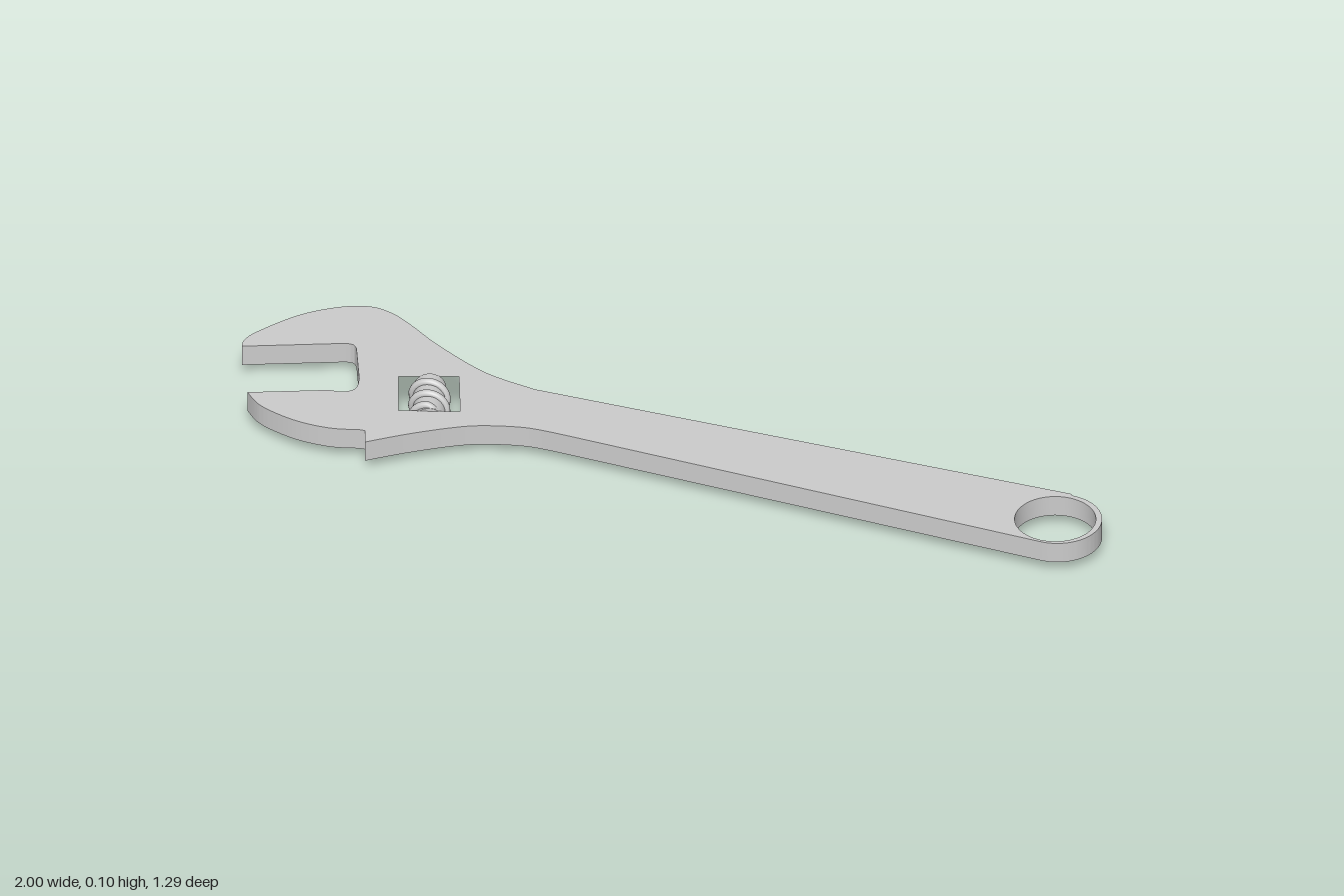
import * as THREE from 'three';
import { toCreasedNormals } from 'three/addons/utils/BufferGeometryUtils.js';

const BOTTOM = 0.03, THICKNESS = 0.055;
const material = new THREE.MeshStandardMaterial({ color: 0xcccccc });

// Plan points are [x, z]; the shape's y is -z so the extrusion can lie flat.
const plan = (points) => points.map(([x, z]) => new THREE.Vector2(x, -z));

function createBody() {
  const shape = new THREE.Shape();
  const line = (...pts) => plan(pts).forEach((p) => shape.lineTo(p.x, p.y));
  const curve = (...pts) => shape.splineThru(plan(pts));

  // fixed jaw, sweeping round into the handle
  shape.moveTo(-0.985, 0.505);
  curve([-0.975, -0.533], [-0.935, -0.567], [-0.825, -0.624], [-0.72, -0.645], [-0.645, -0.635],
    [-0.597, -0.597], [-0.56, -0.54], [-0.505, -0.44], [-0.41, -0.307], [-0.3, -0.215]);
  // handle and rounded end
  line([0.94, 0.43]);
  shape.absarc(0.89, -0.535, 0.11, 1.09, -2.09, true);
  line([-0.26, -0.005]);
  // underside of the head, with the step to the sliding jaw
  curve([-0.345, -0.048], [-0.45, -0.072], [-0.53, -0.073], [-0.64, -0.06], [-0.745, -0.04]);
  line([-0.738, -0.09], [-0.75, -0.096]);
  // sliding jaw
  curve([-0.825, -0.115], [-0.905, -0.162], [-0.975, -0.235], [-1, -0.3]);
  line([-0.8, -0.282]);
  curve([-0.768, -0.27], [-0.735, -0.28], [-0.72, -0.32]);
  // back of the mouth and fixed jaw face
  line([-0.708, -0.457]);
  curve([-0.713, -0.473], [-0.73, -0.482]);
  shape.closePath();

  // hanging hole and window for the adjusting screw
  const hole = new THREE.Path();
  hole.absarc(0.885, -0.535, 0.1, 0, Math.PI * 2, false);
  const slot = new THREE.Path(plan([[-0.623, -0.318], [-0.476, -0.297], [-0.495, -0.142], [-0.644, -0.168]]));
  slot.closePath();
  shape.holes.push(hole, slot);

  const geometry = new THREE.ExtrudeGeometry(shape, { depth: THICKNESS, bevelEnabled: false, curveSegments: 24 });
  geometry.rotateX(-Math.PI / 2).translate(0, BOTTOM, 0);
  const body = new THREE.Mesh(toCreasedNormals(geometry, 0.6), material);
  body.name = 'wrenchBody';
  return body;
}

// Helical thread whose ends sink into the core
class ThreadCurve extends THREE.Curve {
  getPoint(t, target = new THREE.Vector3()) {
    const turns = 2.75, length = 0.142;
    const a = -0.6 - t * turns * Math.PI * 2;
    const r = 0.042 - 0.014 * (1 - Math.min(1, Math.min(t, 1 - t) / 0.04));
    return target.set(r * Math.cos(a), r * Math.sin(a), (t - 0.5) * length);
  }
}

function createScrew() {
  const screw = new THREE.Group();
  screw.name = 'adjustingScrew';
  const core = new THREE.Mesh(new THREE.CylinderGeometry(0.04, 0.04, 0.156, 40).rotateX(Math.PI / 2), material);
  core.name = 'screwCore';
  const thread = new THREE.Mesh(new THREE.TubeGeometry(new ThreadCurve(), 180, 0.01, 10), material);
  thread.name = 'screwThread';
  screw.add(core, thread);
  screw.position.set(-0.559, 0.053, -0.231);
  screw.rotation.y = -0.155;
  return screw;
}

export function createModel() {
  const wrench = new THREE.Group();
  wrench.name = 'adjustableWrench';
  wrench.add(createBody(), createScrew());
  return wrench;
}
